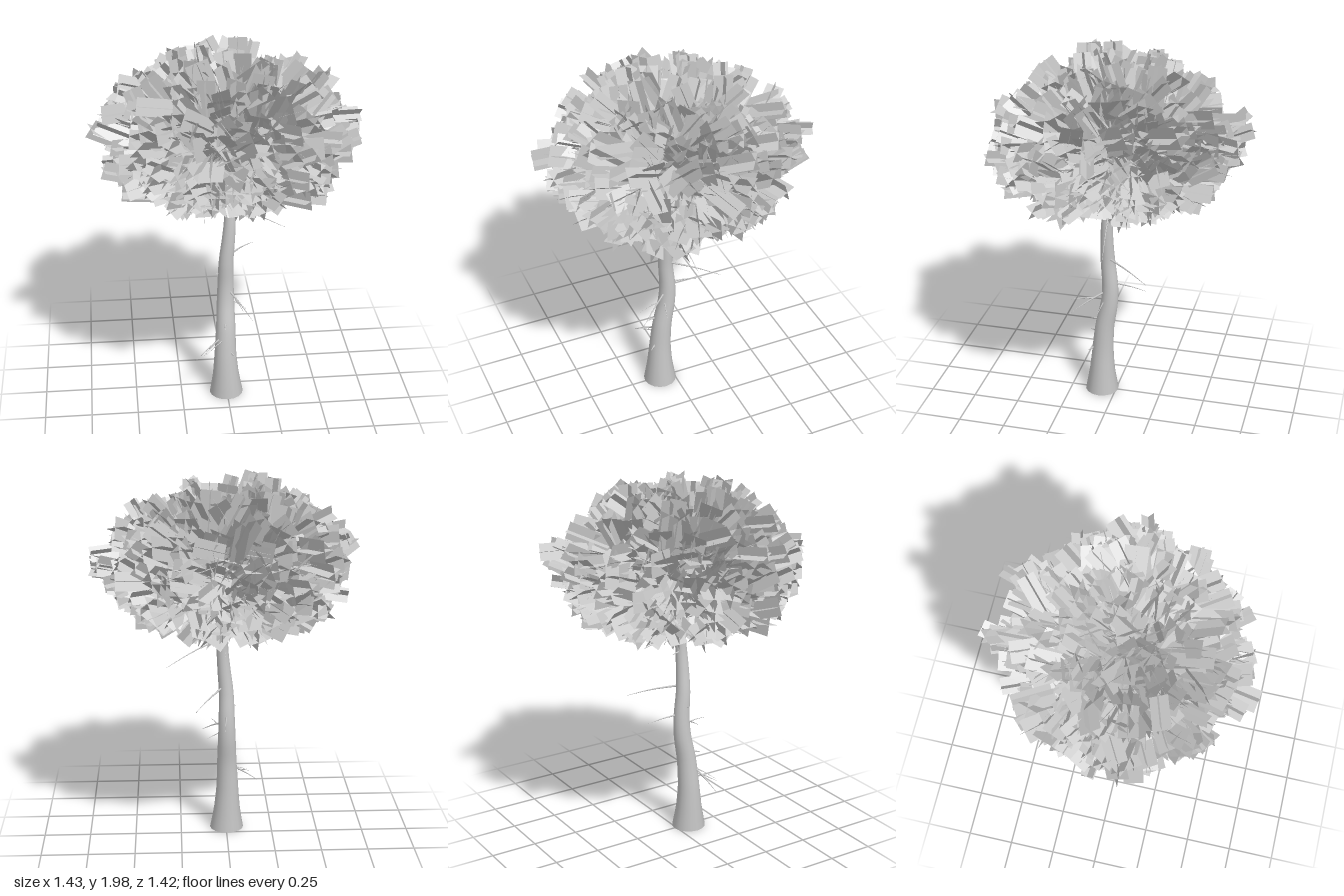
import * as THREE from 'three';
import { mergeGeometries } from 'three/addons/utils/BufferGeometryUtils.js';

const V = (x, y, z) => new THREE.Vector3(x, y, z);

// Small seeded generator for repeatable variation
let seed = 7;
function rnd(a = 0, b = 1) {
  seed = (seed * 16807) % 2147483647;
  return a + (b - a) * (seed / 2147483647);
}
const jitter = (r) => V(rnd(-r, r), rnd(-r, r), rnd(-r, r));

// Open tube along a smooth path, with a radius that varies from ring to ring
function taperedTube(points, radiusAt, rings, sides) {
  const path = new THREE.CatmullRomCurve3(points);
  const geo = new THREE.TubeGeometry(path, rings, 1, sides, false);
  const pos = geo.attributes.position;
  const v = V(0, 0, 0);
  for (let i = 0; i <= rings; i++) {
    const c = path.getPointAt(i / rings);
    const r = radiusAt(i / rings, c);
    for (let j = 0; j <= sides; j++) {
      const k = i * (sides + 1) + j;
      v.fromBufferAttribute(pos, k).sub(c).multiplyScalar(r).add(c);
      pos.setXYZ(k, v.x, v.y, v.z);
    }
  }
  return geo;
}

// Trunk centre line and [height, radius] steps
const trunkLine = [
  V(-0.003, 0, 0.08), V(-0.005, 0.1, 0.08), V(-0.007, 0.25, 0.076), V(-0.004, 0.4, 0.064),
  V(-0.003, 0.55, 0.038), V(-0.002, 0.66, 0.033), V(0, 0.8, 0.044), V(0.012, 0.93, 0.047),
  V(0.02, 1.05, 0.043), V(0.015, 1.2, 0.03), V(0.0, 1.4, 0.01), V(0.0, 1.68, 0),
];
const trunkRadii = [[0, 0.092], [0.06, 0.081], [0.13, 0.07], [0.24, 0.06], [0.4, 0.053],
  [0.65, 0.044], [0.85, 0.038], [1.05, 0.031], [1.25, 0.024], [1.7, 0.008]];
function trunkRadius(y) {
  for (let i = 1; i < trunkRadii.length; i++) {
    const [y0, r0] = trunkRadii[i - 1], [y1, r1] = trunkRadii[i];
    if (y <= y1) return THREE.MathUtils.mapLinear(Math.max(y, y0), y0, y1, r0, r1);
  }
  return 0.008;
}

// Thin, nearly straight twig from a to b
function twig(a, b, r) {
  const mid = a.clone().lerp(b, 0.5);
  mid.y += a.distanceTo(b) * 0.025;
  return taperedTube([a, mid, b], (u) => r * (1 - 0.85 * u), 5, 5);
}

// Point in the crown: unit direction d, scale s (1 = outer surface)
const CENTRE = V(0, 1.48, 0);
const FORK = V(0, 1.4, 0);
function crownPoint(d, s) {
  return V(d.x * 0.66, d.y * (d.y > 0 ? 0.5 : 0.345), d.z * 0.645).multiplyScalar(s).add(CENTRE);
}

// Evenly spread directions from the underside up to the top
function crownDirections(n, low) {
  const dirs = [];
  for (let i = 0; i < n; i++) {
    const y = low + (1 - low) * ((i + 0.5) / n);
    const a = i * 2.39996 + rnd(-0.15, 0.15);
    const r = Math.sqrt(1 - y * y);
    dirs.push(V(Math.cos(a) * r, y, Math.sin(a) * r));
  }
  return dirs;
}

// Two crossed rectangular cards whose long axis points along dir, ending at tip
function leafCluster(tip, dir, width, length) {
  const spin = rnd(0, Math.PI);
  const q = new THREE.Quaternion().setFromUnitVectors(V(0, 1, 0), dir);
  return [0, Math.PI / 2].map((turn) => new THREE.PlaneGeometry(width, length)
    .translate(0, -length / 2, 0)
    .rotateY(spin + turn)
    .applyQuaternion(q)
    .translate(tip.x, tip.y, tip.z));
}

export function createModel() {
  seed = 7;
  const tree = new THREE.Group();
  tree.name = 'tree';
  const bark = new THREE.MeshStandardMaterial({ color: 0xcccccc, side: THREE.DoubleSide });
  const leaf = new THREE.MeshStandardMaterial({ color: 0xcccccc, side: THREE.DoubleSide });
  const add = (name, geo, mat) => {
    const mesh = new THREE.Mesh(geo, mat);
    mesh.name = name;
    tree.add(mesh);
  };

  // Trunk, open at the foot
  const trunk = taperedTube(trunkLine, (u, c) => trunkRadius(c.y), 40, 16);
  const tp = trunk.attributes.position;
  for (let j = 0; j <= 16; j++) tp.setY(j, 0);
  add('trunk', trunk, bark);

  // Dead twigs and short stubs on the bare trunk: start, end, radius
  const twigs = [
    [V(0.04, 1.105, 0.03), V(0.32, 0.96, -0.005), 0.005],
    [V(0.03, 0.83, 0.02), V(0.17, 0.775, -0.205), 0.006],
    [V(0, 0.675, 0), V(0.015, 0.655, -0.17), 0.005],
    [V(0.02, 0.62, 0.065), V(0.125, 0.525, 0.225), 0.006],
    [V(0.045, 0.595, 0.11), V(0.075, 0.585, 0.23), 0.004],
    [V(0.02, 0.57, 0.06), V(0.105, 0.52, 0.08), 0.004],
    [V(-0.03, 0.355, 0.1), V(-0.18, 0.245, 0.15), 0.006],
    [V(-0.07, 0.325, 0.115), V(-0.135, 0.29, 0.18), 0.004],
    [V(-0.02, 0.345, 0.11), V(-0.12, 0.3, 0.18), 0.004],
    [V(-0.01, 0.44, 0.1), V(-0.015, 0.43, 0.145), 0.007],
    [V(0.02, 0.27, 0.12), V(0.04, 0.255, 0.15), 0.007],
    [V(-0.03, 0.72, 0.04), V(-0.055, 0.725, 0.045), 0.005],
    [V(0.005, 1.03, 0.02), V(0.005, 1.02, -0.02), 0.005],
    [V(0.0, 1.2, 0.03), V(-0.1, 1.165, 0.05), 0.005],
  ];
  add('twigs', mergeGeometries(twigs.map((t) => twig(...t))), bark);

  // Boughs: direction, reach, leaf clusters and spread; a few stick out beyond the rest
  const boughs = crownDirections(64, -0.9).map((d) => ({ d, reach: rnd(0.93, 1.04), count: 13, spread: 0.25 }));
  for (const d of [V(-1, 0.34, 0.1), V(1, 0.14, -0.06), V(-0.07, 0.2, -1), V(-0.16, 0.22, 1), V(0.4, 0.25, -0.88)]) {
    boughs.push({ d: d.normalize(), reach: 1.1, count: 8, spread: 0.13 });
  }

  // Each bough is a thin branch with crossed leaf cards around its outer half
  const branches = [], cards = [];
  for (const { d, reach, count, spread } of boughs) {
    const start = V(0.004, FORK.y + 0.15 * d.y, 0.01);
    const end = crownPoint(d, 0.82 * reach);
    const mid = start.clone().lerp(end, 0.5).add(V(0, 0.03, 0));
    branches.push(taperedTube([start, mid, end], (u) => 0.009 * (1 - 0.8 * u), 6, 5));
    for (let i = 0; i < count; i++) {
      const depth = 1 - 0.48 * Math.pow(i / count, 1.6);
      const tip = crownPoint(d.clone().add(jitter(spread)).normalize(), reach * depth * rnd(0.96, 1.03));
      const dir = tip.clone().sub(FORK).normalize().add(jitter(0.36)).normalize();
      cards.push(...leafCluster(tip, dir, rnd(0.085, 0.12), rnd(0.18, 0.26)));
    }
  }
  add('branches', mergeGeometries(branches), bark);
  add('foliage', mergeGeometries(cards), leaf);
  return tree;
}
